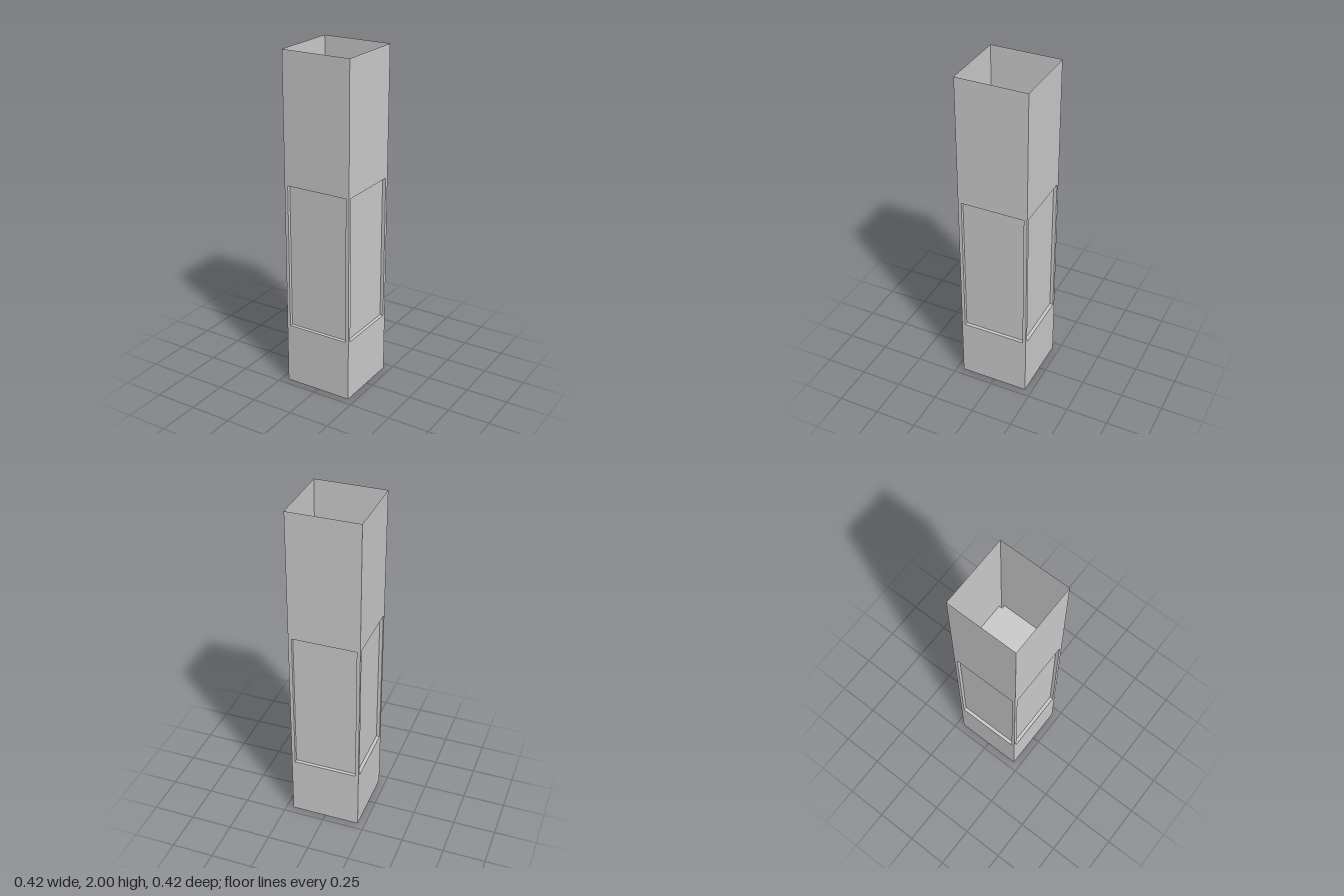
import * as THREE from 'three';

const HALF = 0.208;          // half width of the square tube
const INNER = 0.188;         // half width of the recessed panels
const HEIGHT = 2;
const LOW = 0.37, HIGH = 1.24; // bottom and top of the recesses

const material = new THREE.MeshStandardMaterial({
  color: 0xcccccc, flatShading: true, side: THREE.DoubleSide,
});

function addMesh(parent, name, geometry) {
  const mesh = new THREE.Mesh(geometry, material);
  mesh.name = name;
  parent.add(mesh);
  return mesh;
}

// Thin wall with a rectangular opening, in the xy plane
function wallGeometry() {
  const shape = new THREE.Shape([
    new THREE.Vector2(-HALF, 0), new THREE.Vector2(HALF, 0),
    new THREE.Vector2(HALF, HEIGHT), new THREE.Vector2(-HALF, HEIGHT),
  ]);
  shape.holes.push(new THREE.Path([
    new THREE.Vector2(-INNER, LOW), new THREE.Vector2(-INNER, HIGH),
    new THREE.Vector2(INNER, HIGH), new THREE.Vector2(INNER, LOW),
  ]));
  return new THREE.ShapeGeometry(shape);
}

// One side of the tube: wall plus the four reveals around its recess
function createSide() {
  const side = new THREE.Group();
  side.name = 'side';
  addMesh(side, 'wall', wallGeometry()).position.z = HALF;

  const depth = HALF - INNER, midZ = (HALF + INNER) / 2;
  for (const s of [-1, 1]) {
    const jamb = addMesh(side, 'recessJamb', new THREE.PlaneGeometry(depth, HIGH - LOW));
    jamb.rotation.y = -s * Math.PI / 2;
    jamb.position.set(s * INNER, (LOW + HIGH) / 2, midZ);

    const ledge = addMesh(side, s < 0 ? 'recessSill' : 'recessHead',
      new THREE.PlaneGeometry(INNER * 2, depth));
    ledge.rotation.x = s * Math.PI / 2;
    ledge.position.set(0, s < 0 ? LOW : HIGH, midZ);
  }
  return side;
}

export function createModel() {
  const model = new THREE.Group();
  model.name = 'squareColumn';

  for (let i = 0; i < 4; i++) {
    const side = createSide();
    side.rotation.y = i * Math.PI / 2;
    model.add(side);
  }

  // Inner core whose faces are the recessed panels
  const core = addMesh(model, 'recessedPanelCore',
    new THREE.BoxGeometry(INNER * 2, HIGH - LOW, INNER * 2));
  core.position.y = (LOW + HIGH) / 2;

  return model;
}
